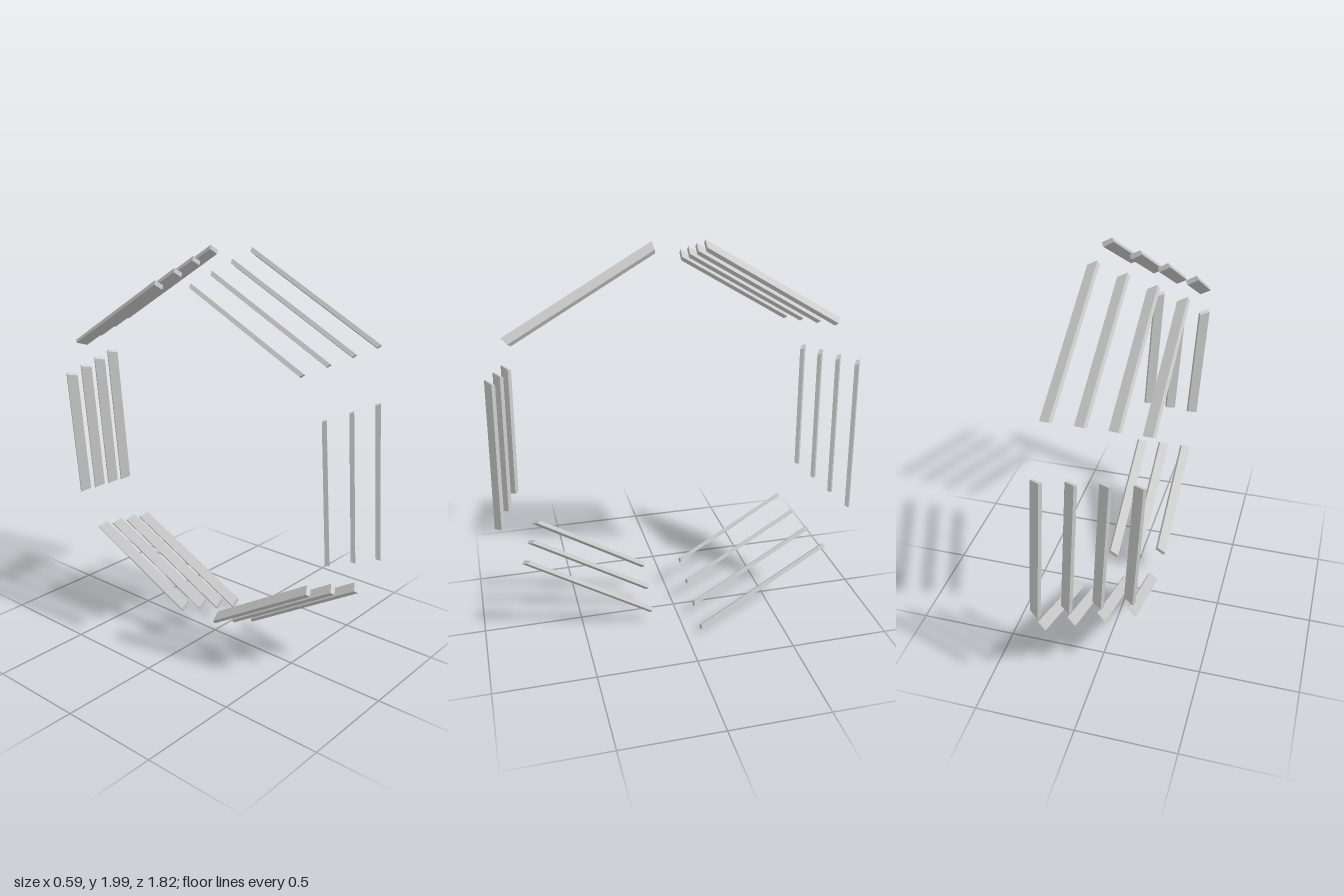
import * as THREE from 'three';

const SLAT_WIDTH = 0.054, SLAT_THICK = 0.02;
const LOUVRE = THREE.MathUtils.degToRad(32); // slat lean against the ring axis
const MITRE = 0.423;                         // half length per unit of radius

// One louvred slat at the given distance from the ring axis, ends cut radially
function slatGeometry(apothem) {
  const geo = new THREE.BoxGeometry(SLAT_WIDTH, 2, SLAT_THICK);
  const p = geo.attributes.position;
  const c = Math.cos(LOUVRE), s = Math.sin(LOUVRE);
  for (let i = 0; i < p.count; i++) {
    const w = p.getX(i), t = p.getZ(i), side = p.getY(i);
    const r = apothem - w * s + t * c;
    p.setXYZ(i, w * c + t * s, side * MITRE * r, r);
  }
  geo.computeVertexNormals();
  return geo;
}

export function createModel() {
  const model = new THREE.Group();
  model.name = 'hexagonalSlatTunnel';
  const material = new THREE.MeshStandardMaterial({ color: 0xcccccc, flatShading: true });
  const sides = ['front', 'upperFront', 'upperBack', 'back', 'lowerBack', 'lowerFront'];

  // Four widening rings; the last one is open at the front and lower front
  for (let k = 0; k < 4; k++) {
    const ring = new THREE.Group();
    ring.name = `ring${k + 1}`;
    ring.position.set(-0.207 + 0.1355 * k, 1.012 - 0.0037 * k, 0.014 + 0.0025 * k);
    ring.rotation.set(-0.021, 0.027, 0.072);
    const geo = slatGeometry(0.772 + 0.0433 * k);
    sides.forEach((side, i) => {
      if (k === 3 && (i === 0 || i === 5)) return;
      const slat = new THREE.Mesh(geo, material);
      slat.name = `${side}Slat`;
      slat.rotation.x = -i * Math.PI / 3;
      ring.add(slat);
    });
    model.add(ring);
  }
  return model;
}
